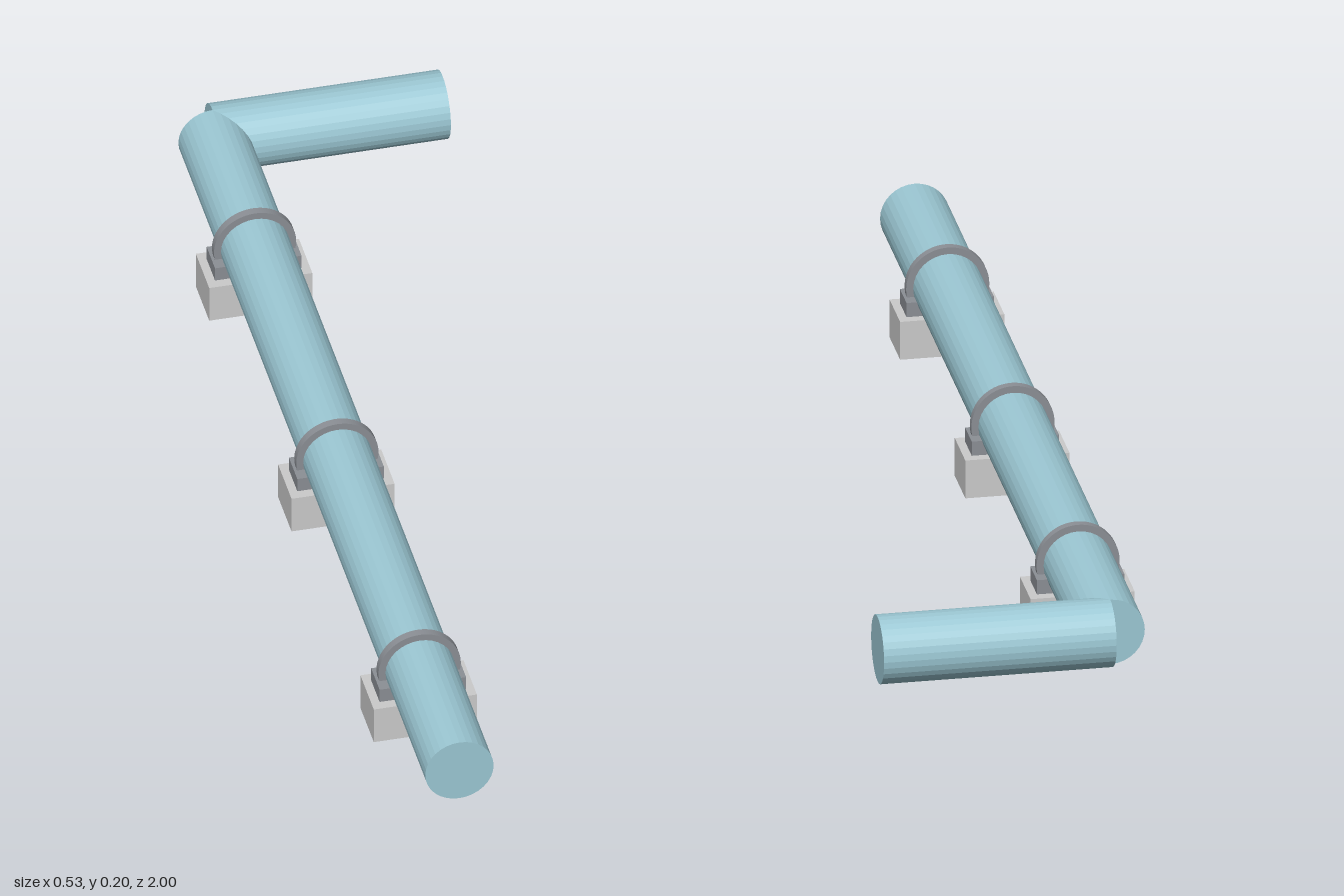
import * as THREE from 'three';

const PIPE_X = -0.168, PIPE_Y = 0.119, PIPE_R = 0.064, CORNER_Z = -0.936;

export function createModel() {
  const model = new THREE.Group();
  model.name = 'pipeline';

  const pipeMat = new THREE.MeshStandardMaterial({ color: 0x9cc8d4, flatShading: true });
  const clampMat = new THREE.MeshStandardMaterial({ color: 0x8c9096 });
  const blockMat = new THREE.MeshStandardMaterial({ color: 0xcccccc });

  const add = (parent, name, geometry, material, x, y, z) => {
    const mesh = new THREE.Mesh(geometry, material);
    mesh.name = name;
    mesh.position.set(x, y, z);
    parent.add(mesh);
    return mesh;
  };

  const pipe = (length) => new THREE.CylinderGeometry(PIPE_R, PIPE_R, length, 32);

  // Long run along z, and the short branch along x that butts into its end
  const mainLength = 1 - CORNER_Z;
  add(model, 'mainPipe', pipe(mainLength), pipeMat, PIPE_X, PIPE_Y, 1 - mainLength / 2)
    .rotation.x = Math.PI / 2;
  const branchLength = 0.263 - PIPE_X;
  add(model, 'branchPipe', pipe(branchLength), pipeMat, PIPE_X + branchLength / 2, PIPE_Y, CORNER_Z)
    .rotation.z = Math.PI / 2;

  // Strap: a flat arc over the pipe, its ends sunk into the saddle
  const dip = 0.35, strapWidth = 0.016;
  const arc = new THREE.Shape();
  arc.absarc(0, 0, 0.077, -dip, Math.PI + dip, false);
  arc.absarc(0, 0, PIPE_R - 0.001, Math.PI + dip, -dip, true);
  arc.closePath();
  const strapGeo = new THREE.ExtrudeGeometry(arc, {
    depth: strapWidth, bevelEnabled: false, curveSegments: 32,
  });
  strapGeo.translate(0, 0, -strapWidth / 2);

  const blockGeo = new THREE.BoxGeometry(0.193, 0.075, 0.105);
  const saddleGeo = new THREE.BoxGeometry(0.162, 0.03, 0.066);

  // Three evenly spaced supports
  for (const z of [0.68, 0.035, -0.61]) {
    const support = new THREE.Group();
    support.name = 'support';
    support.position.set(PIPE_X, 0, z);
    add(support, 'footingBlock', blockGeo, blockMat, 0, 0.0375, 0);
    add(support, 'saddle', saddleGeo, clampMat, 0, 0.088, 0);
    add(support, 'strap', strapGeo, clampMat, 0, PIPE_Y, 0);
    model.add(support);
  }
  return model;
}
